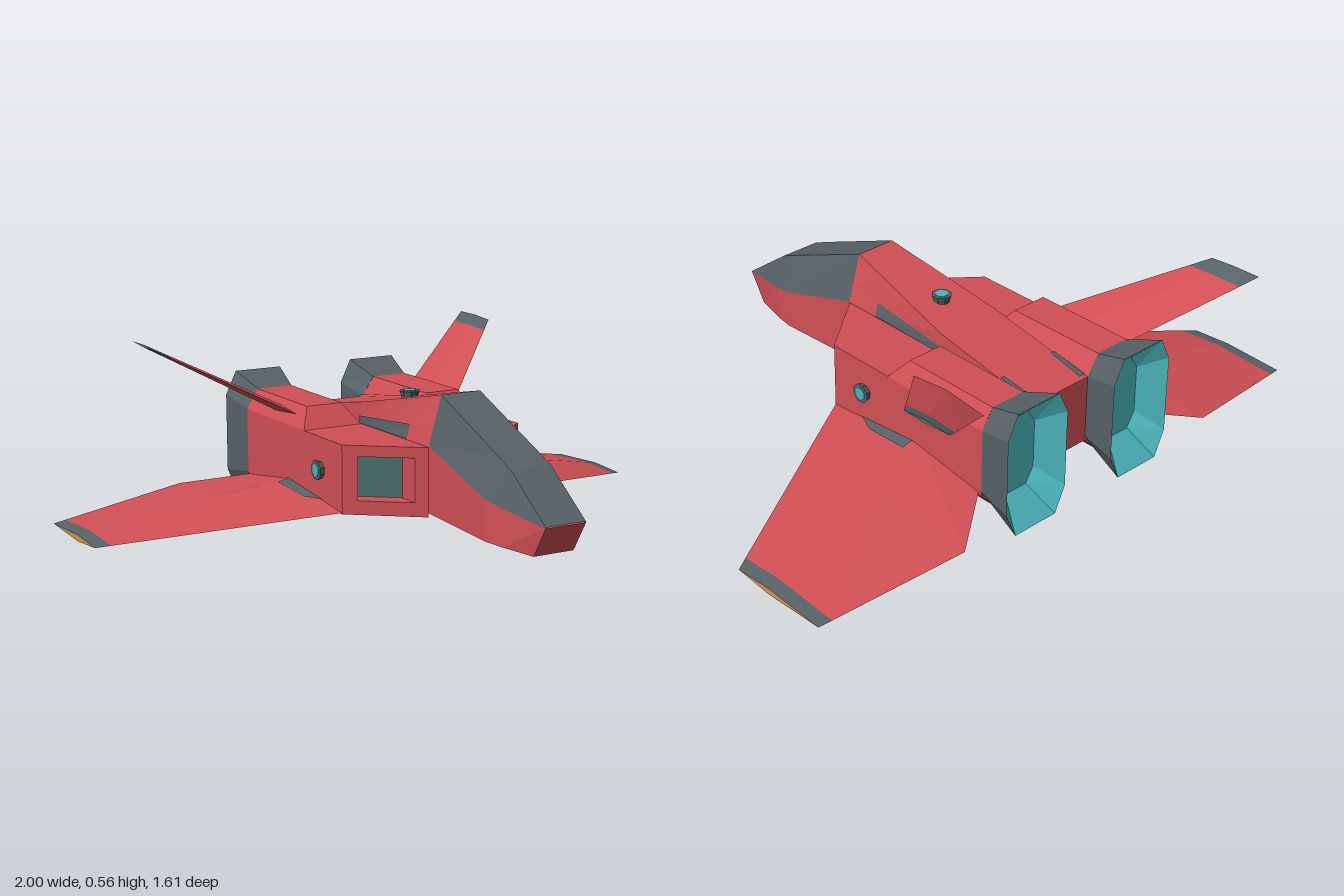
import * as THREE from 'three';

const material = (name, color) => {
  const m = new THREE.MeshStandardMaterial({ color, flatShading: true, side: THREE.DoubleSide });
  m.name = name;
  return m;
};

const lerp = (a, b, t) => a.map((v, i) => v + (b[i] - v) * t);
const lerpRing = (A, B, t) => A.map((p, i) => lerp(p, B[i], t));

// Quads between successive rings; rings run counter-clockwise seen from the first one
function loft(rings, { closed = true, start = false, end = false } = {}) {
  const polys = [];
  for (let r = 0; r < rings.length - 1; r++) {
    const F = rings[r], K = rings[r + 1], n = F.length;
    for (let i = 0; i < (closed ? n : n - 1); i++) {
      const j = (i + 1) % n;
      polys.push([F[i], K[i], K[j], F[j]]);
    }
  }
  if (start) polys.push(rings[0]);
  if (end) polys.push([...rings[rings.length - 1]].reverse());
  return polys;
}

const flip = (polys) => polys.map((p) => p.map(([x, y, z]) => [-x, y, z]).reverse());

function polyMesh(name, mat, polys) {
  const pos = [];
  for (const p of polys)
    for (let i = 1; i < p.length - 1; i++) pos.push(...p[0], ...p[i], ...p[i + 1]);
  const g = new THREE.BufferGeometry();
  g.setAttribute('position', new THREE.Float32BufferAttribute(pos, 3));
  g.computeVertexNormals();
  const mesh = new THREE.Mesh(g, mat);
  mesh.name = name;
  return mesh;
}

export function createModel() {
  const red = material('red hull', 0xcf4f55);
  const grey = material('dark grey', 0x566166);
  const teal = material('teal glow', 0x4bb4ba);
  const glass = material('intake screen', 0x4a706c);
  const amber = material('amber light', 0xd0924a);
  const model = new THREE.Group();
  model.name = 'starfighter';
  const add = (name, mat, polys) => model.add(polyMesh(name, mat, polys));
  const pair = (name, mat, polys) => {
    add(name + 'Left', mat, polys);
    add(name + 'Right', mat, flip(polys));
  };

  // Nose: [z, top half width, top y, mid half width, mid y, bottom y, bottom z]
  const nose = [
    [0.8, 0.07, 0.2, 0.07, 0.197, 0.1, 0.74],
    [0.62, 0.07, 0.33, 0.102, 0.222, 0.105, 0.62],
    [0.55, 0.07, 0.36, 0.115, 0.235, 0.108, 0.55],
    [0.23, 0.07, 0.49, 0.115, 0.335, 0.123, 0.23],
  ];
  add('canopy', grey, loft(nose.map(([z, tw, ty, mw, my]) =>
    [[mw, my, z], [tw, ty, z], [-tw, ty, z], [-mw, my, z]]), { closed: false }));
  const lower = nose.map(([z, , , mw, my, by, bz]) =>
    [[-mw, my, z], [-mw, by, bz], [mw, by, bz], [mw, my, z]]);
  add('nose', red, [...loft(lower, { closed: false }), lower[0]]);

  // Spine behind the canopy, tapering down between the engines
  const spineRing = (z, tw, ty, my, by) => {
    const m = [0.115, my, z], t = [tw, ty, z], n = lerp(m, t, 0.35);
    const half = [[0.115, by, z], m, n, t];
    return [...half, ...half.map(([x, y, q]) => [-x, y, q]).reverse()];
  };
  const front = spineRing(0.23, 0.07, 0.49, 0.335, 0.123);
  const middle = spineRing(-0.2, 0.115, 0.4, 0.33, 0.1);
  const spine = [0, 0.3, 0.65, 1].map((t) => lerpRing(front, middle, t));
  add('spine', red, loft([...spine, spineRing(-0.6, 0.115, 0.33, 0.3, 0.1)], { end: true }));
  pair('spineStripe', grey, loft(spine.slice(1).map((r) =>
    [r[1], r[2]].map(([x, y, z]) => [x + 0.003, y + 0.001, z])), { closed: false }));
  pair('spinePatch', grey, [[[0.092, 0.337, -0.59], [0.115, 0.337, -0.59],
    [0.115, 0.36, -0.46], [0.1, 0.36, -0.46]]]);

  // Engine pods with slanted, recessed intakes
  const slant = (x) => 0.23 - 0.81 * (x - 0.115);
  const rect = (x0, x1, y0, y1, zAt) =>
    [[x0, y0], [x1, y0], [x1, y1], [x0, y1]].map(([x, y]) => [x, y, zAt(x)]);
  const recess = rect(0.148, 0.286, 0.155, 0.295, (x) => slant(x) - 0.075);
  pair('enginePod', red, loft([
    recess,
    rect(0.148, 0.286, 0.155, 0.295, slant),
    rect(0.115, 0.325, 0.11, 0.33, slant),
    rect(0.115, 0.325, 0.1, 0.33, () => -0.6),
  ], { end: true }));
  pair('intakeScreen', glass, [recess]);

  // Raised engine cover and belly fairing
  const deck = (x0, x1, y, zf, zb) => [[x0, y, zf], [x1, y, zf], [x1, y, zb], [x0, y, zb]];
  pair('engineCover', red, loft([deck(0.16, 0.285, 0.395, -0.245, -0.6),
    deck(0.118, 0.325, 0.33, -0.19, -0.6)], { start: true }));
  pair('engineBelly', red, loft([deck(0.118, 0.325, 0.1, 0.0, -0.6),
    deck(0.16, 0.285, 0.055, -0.2, -0.6)], { end: true }));

  // Flared eight-sided nozzles
  const octagon = (z, x0, x1, c, y0, y1, y2, y3) => [
    [x0 + c, y0, z], [x1 - c, y0, z], [x1, y1, z], [x1, y2, z],
    [x1 - c, y3, z], [x0 + c, y3, z], [x0, y2, z], [x0, y1, z]];
  const rim = octagon(-0.725, 0.1, 0.343, 0.038, 0.015, 0.1, 0.36, 0.438);
  pair('nozzle', grey, loft([octagon(-0.6, 0.118, 0.325, 0.041, 0.055, 0.115, 0.33, 0.395), rim]));
  pair('nozzleGlow', teal, loft([rim,
    octagon(-0.64, 0.15, 0.295, 0.03, 0.1, 0.15, 0.31, 0.355)], { end: true }));

  // Wings: each section is leading edge, underside, trailing edge, ridge
  const tip = [[1, 0.012, -0.3], [1, 0, -0.44], [1, 0.011, -0.655], [1, 0.021, -0.44]];
  const kink = [[0.52, 0.085, -0.044], [0.52, 0.062, -0.36], [0.52, 0.07, -0.735], [0.52, 0.112, -0.36]];
  const root = [[0.3, 0.118, 0.073], [0.3, 0.1, -0.3], [0.3, 0.115, -0.57], [0.3, 0.155, -0.3]];
  const inset = lerpRing(tip, kink, 0.09);
  pair('wing', red, [...loft([inset, kink, root]),
    ...loft([tip, inset].map((r) => r.slice(0, 3)), { closed: false })]);
  pair('wingTip', grey, loft([tip, inset].map((r) => [r[2], r[3], r[0]]), { closed: false }));
  pair('wingTipLight', amber, [tip]);

  // Dark strip along the wing root
  const onWing = (t, s) => {
    const r = lerpRing(root, kink, t), p = lerp(r[0], r[3], s);
    return [p[0], p[1] + 0.004, p[2]];
  };
  pair('wingRootStrip', grey, [[onWing(0.12, 0.35), onWing(0.26, 0.5), onWing(0.3, 0.95), onWing(0.12, 0.98)]]);

  // Canted tail fins with dark tips
  const finSection = (x, y0, y1, zf, zb, h) => {
    const y = (y0 + y1) / 2, z = zf * 0.55 + zb * 0.45;
    return [[x, y0, zf], [x + h * 0.5, y - h * 0.87, z], [x, y1, zb], [x - h * 0.5, y + h * 0.87, z]];
  };
  const finTip = finSection(0.647, 0.552, 0.559, -0.62, -0.805, 0.004);
  const finRoot = finSection(0.285, 0.355, 0.355, -0.265, -0.57, 0.012);
  const finSplit = lerpRing(finTip, finRoot, 0.14);
  pair('tailFin', red, loft([finSplit, finRoot]));
  pair('tailFinTip', grey, loft([finTip, finSplit], { start: true }));

  // Small sensor domes on top, belly and both flanks
  const sensor = (name, x, y, z, roll) => {
    const g = new THREE.Group();
    g.name = name;
    const cup = new THREE.Mesh(new THREE.CylinderGeometry(0.033, 0.022, 0.034, 8), grey);
    cup.name = 'sensorCup';
    const lens = new THREE.Mesh(new THREE.CylinderGeometry(0.021, 0.021, 0.006, 8), teal);
    lens.name = 'sensorLens';
    lens.position.y = 0.016;
    cup.rotation.y = lens.rotation.y = Math.PI / 8;
    g.add(cup, lens);
    g.position.set(x, y, z);
    g.rotation.z = roll;
    model.add(g);
  };
  sensor('topSensor', 0, 0.43, -0.08, 0);
  sensor('bellySensor', 0, 0.102, -0.08, Math.PI);
  sensor('flankSensorLeft', 0.325, 0.225, -0.08, -Math.PI / 2);
  sensor('flankSensorRight', -0.325, 0.225, -0.08, Math.PI / 2);

  return model;
}
